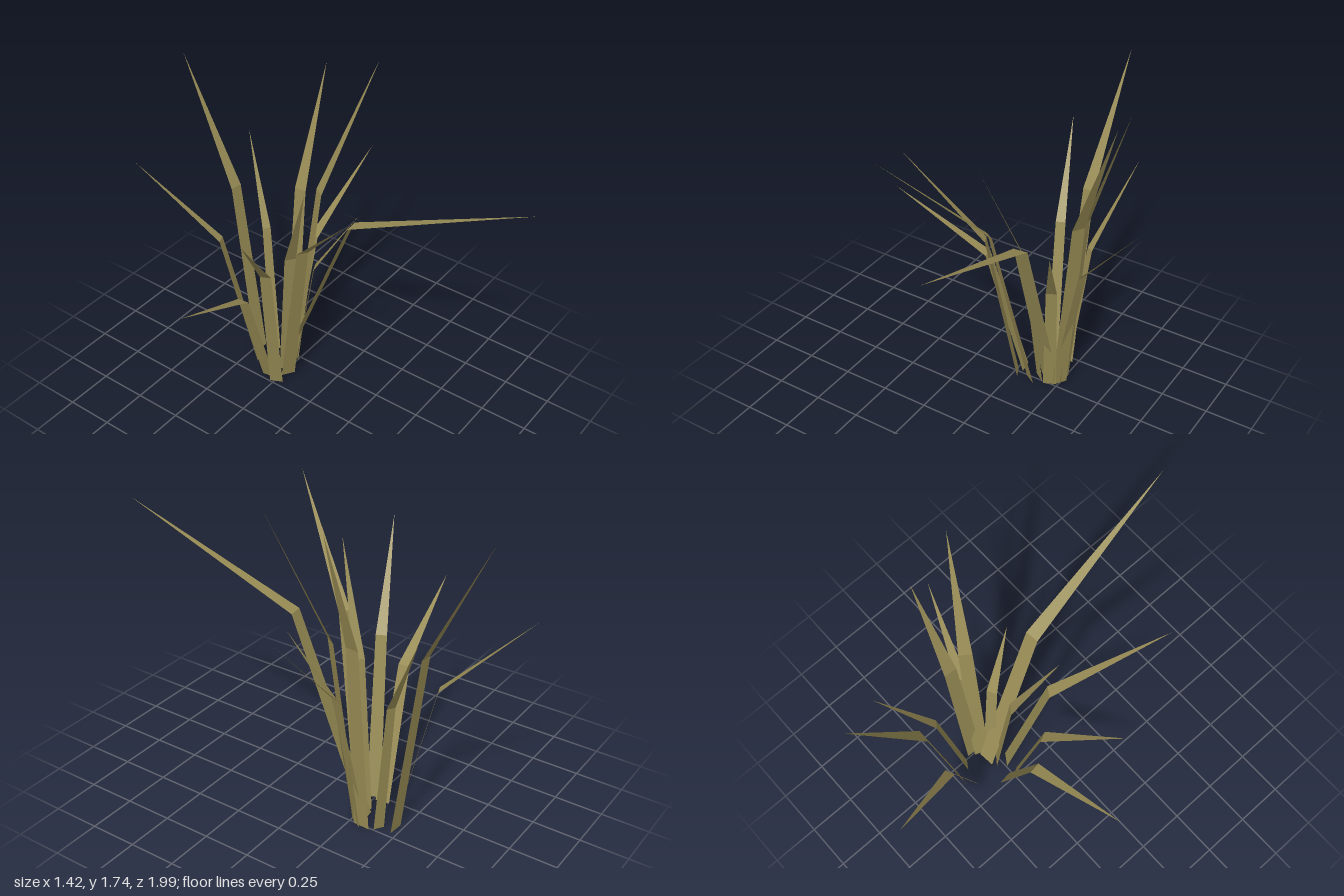
import * as THREE from 'three';

// One blade per row: base x, base z, tip x, tip y, tip z, knee height, base width
const BLADES = [
  [0.116, -0.434, -0.12, 1.17, -1.0, 0.77, 0.064],
  [0.183, -0.474, 0.22, 1.66, -0.94, 1.01, 0.082],
  [0.222, -0.402, 0.42, 1.21, -0.705, 0.75, 0.055],
  [0.257, -0.323, 0.55, 1.67, -0.31, 1.03, 0.086],
  [0.228, -0.3, 0.713, 1.18, -0.133, 0.757, 0.07],
  [0.25, -0.285, 0.615, 1.74, -0.045, 1.05, 0.085],
  [0.21, -0.25, 0.35, 1.02, 0.04, 0.66, 0.07],
  [0.18, -0.305, 0.31, 1.44, 0.99, 1.05, 0.09],
  [0.105, -0.225, -0.322, 1.51, 0.43, 0.98, 0.075],
  [0.02, -0.24, -0.503, 1.31, 0.0, 0.84, 0.07],
  [0.032, -0.3, -0.707, 0.95, -0.2, 0.68, 0.074],
  [0.14, -0.265, -0.06, 1.35, 0.01, 0.81, 0.075],
];

// Flat ribbon that leans outwards, bends at the knee and narrows to a point
function bladeGeometry([bx, bz, tx, ty, tz, kneeY, width]) {
  const base = new THREE.Vector3(bx, 0, bz);
  const tip = new THREE.Vector3(tx, ty, tz);
  const knee = base.clone().lerp(tip, 0.3).setY(kneeY);
  const side = new THREE.Vector3(tz - bz, 0, bx - tx).normalize();
  const edge = (p, w) => p.clone().addScaledVector(side, w / 2);
  const [b0, b1] = [edge(base, -width), edge(base, width)];
  const [k0, k1] = [edge(knee, -width * 0.8), edge(knee, width * 0.8)];
  const geometry = new THREE.BufferGeometry().setFromPoints(
    [b0, b1, k1, b0, k1, k0, k0, k1, tip]);
  geometry.computeVertexNormals();
  return geometry;
}

export function createModel() {
  const group = new THREE.Group();
  group.name = 'grassTuft';
  const dryGrass = new THREE.MeshStandardMaterial({ color: 0x988c55, side: THREE.DoubleSide, flatShading: true });
  dryGrass.name = 'dryGrass';
  BLADES.forEach((row, i) => {
    const blade = new THREE.Mesh(bladeGeometry(row), dryGrass);
    blade.name = `grassBlade${i + 1}`;
    group.add(blade);
  });
  return group;
}
